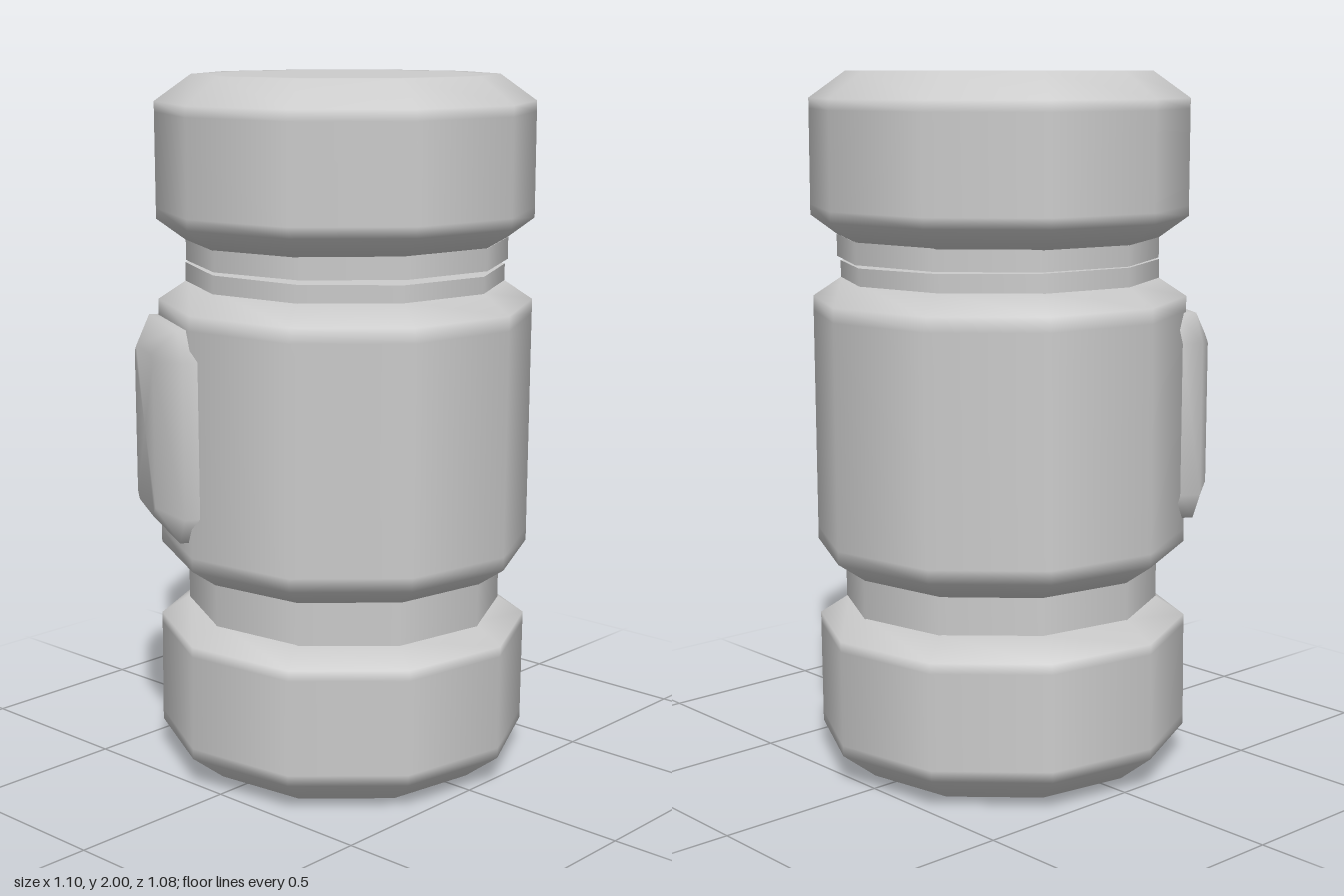
import * as THREE from 'three';

const SIDES = 10;
const START = THREE.MathUtils.degToRad(8.4);

export function createModel() {
  const group = new THREE.Group();
  const material = new THREE.MeshStandardMaterial({ color: 0xcccccc });

  // Ten-sided turned part; the profile is [radius, height] from bottom to top around its own middle
  function turned(name, profile, [x, y, z], tilt = 0) {
    const points = profile.map(([r, h]) => new THREE.Vector2(r, h));
    const mesh = new THREE.Mesh(new THREE.LatheGeometry(points, SIDES, START), material);
    mesh.name = name;
    mesh.position.set(x, y, z);
    mesh.rotation.x = tilt;
    group.add(mesh);
  }

  // Plain flat-ended ring, its wall shaded apart from its ends
  function neck(name, radius, bottom, top, x, z, tilt) {
    const geometry = new THREE.CylinderGeometry(radius, radius, top - bottom, SIDES, 1, false, START);
    const mesh = new THREE.Mesh(geometry, material);
    mesh.name = name;
    mesh.position.set(x, (top + bottom) / 2, z);
    mesh.rotation.x = tilt;
    group.add(mesh);
  }

  // Bevelled caps and barrel
  turned('topCap', [
    [0, -0.235], [0.45, -0.235], [0.54, -0.17], [0.54, -0.14],
    [0.54, 0.13], [0.54, 0.16], [0.435, 0.235], [0.38, 0.235], [0, 0.235],
  ], [0.018, 1.765, 0.006]);
  turned('barrel', [
    [0, -0.418], [0.45, -0.418], [0.537, -0.358], [0.537, -0.32],
    [0.537, 0.32], [0.537, 0.362], [0.45, 0.42], [0, 0.42],
  ], [0.013, 1.002, 0.008], 0.007);
  turned('bottomCap', [
    [0, -0.234], [0.38, -0.234], [0.435, -0.234], [0.537, -0.155], [0.537, -0.125],
    [0.537, 0.15], [0.537, 0.18], [0.45, 0.236], [0, 0.236],
  ], [0.013, 0.242, -0.002], 0.0125);

  // Necks between them, with a thin slit under the top cap
  neck('upperNeckRing', 0.461, 1.477, 1.54, 0.02, 0.01, 0);
  neck('lowerNeckRing', 0.457, 1.40, 1.468, 0.012, 0.01, 0.012);
  neck('bottomNeck', 0.457, 0.46, 0.60, 0.01, 0.007, 0.01);

  // Bevelled side button: octagon rings [outer x, cut x, outer y, cut y, depth]
  const rings = [
    [0.215, 0.157, 0.30, 0.22, 0.46],
    [0.215, 0.157, 0.30, 0.22, 0.52],
    [0.106, 0.085, 0.225, 0.205, 0.576],
  ];
  const positions = [];
  const indices = [];
  for (const [x, cx, y, cy, d] of rings) {
    const quarter = [[x, cy], [cx, y]];
    const mirrored = quarter.map(([a, b]) => [-a, b]).reverse();
    const half = [...quarter, ...mirrored];
    const outline = [...half, ...half.map(([a, b]) => [-a, -b])];
    for (const [a, b] of outline) positions.push(a, b, d);
  }
  positions.push(0, 0, 0.576);
  const centre = rings.length * 8;
  for (let i = 0; i < 8; i++) {
    const j = (i + 1) % 8;
    for (let r = 0; r < rings.length - 1; r++) {
      const a = r * 8 + i, b = r * 8 + j;
      indices.push(a, b, b + 8, a, b + 8, a + 8);
    }
    indices.push(centre - 8 + i, centre - 8 + j, centre);
  }
  const geometry = new THREE.BufferGeometry();
  geometry.setAttribute('position', new THREE.Float32BufferAttribute(positions, 3));
  geometry.setIndex(indices);
  geometry.computeVertexNormals();
  const button = new THREE.Mesh(geometry, material);
  button.name = 'sideButton';
  button.rotation.y = Math.atan2(-0.88, -0.47);
  button.position.set(0.01, 1.02, -0.018);
  group.add(button);

  return group;
}
